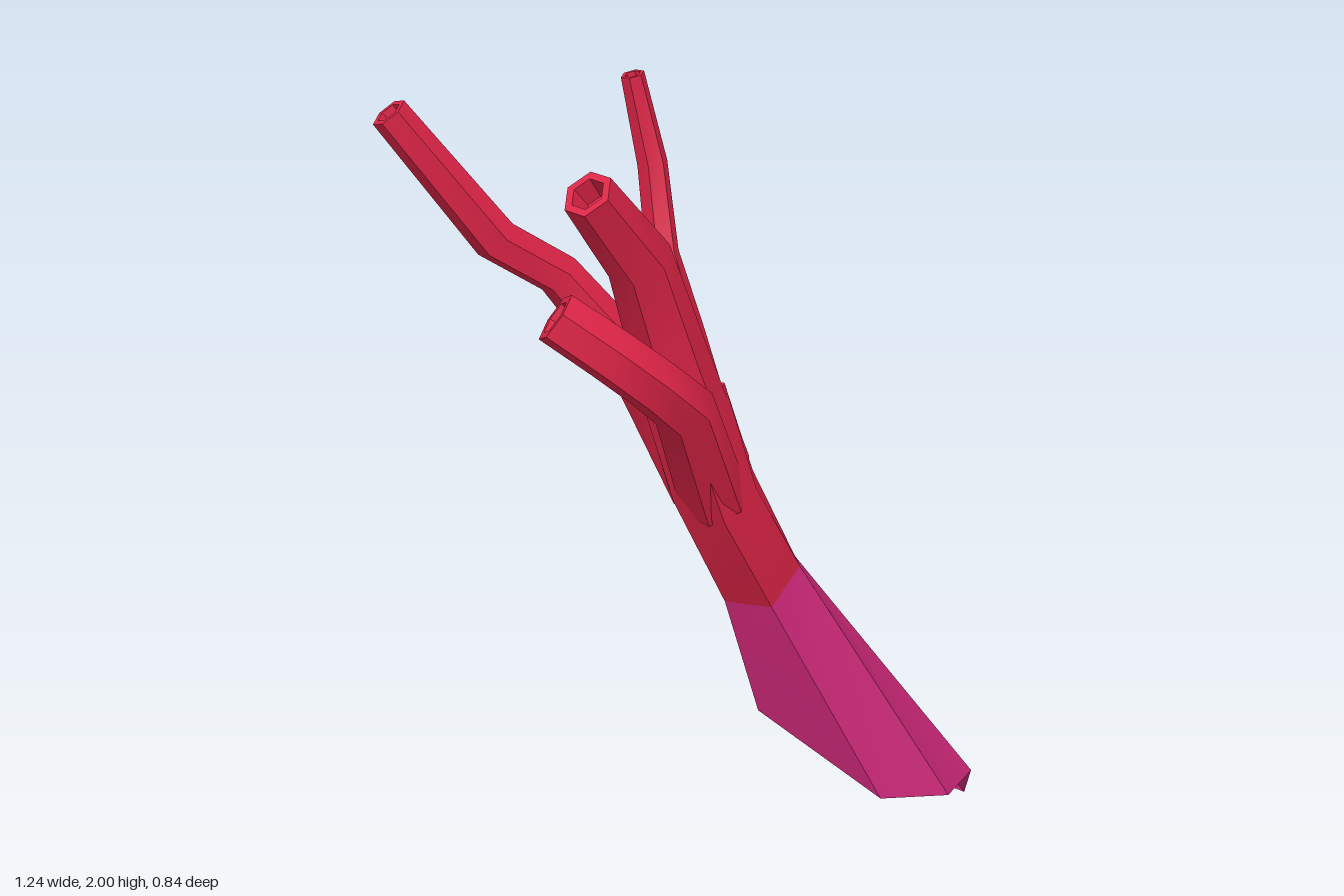
import * as THREE from 'three';
import { toCreasedNormals } from 'three/addons/utils/BufferGeometryUtils.js';

const V = (p) => new THREE.Vector3(...p);

// Skin a list of equal-length rings (counter-clockwise about the loft direction)
function loft(rings, cap = false) {
  const pos = [];
  const tri = (a, b, c) => pos.push(...a.toArray(), ...b.toArray(), ...c.toArray());
  const n = rings[0].length;
  for (let r = 0; r < rings.length - 1; r++) {
    for (let i = 0; i < n; i++) {
      const j = (i + 1) % n, a = rings[r], b = rings[r + 1];
      tri(a[i], a[j], b[j]);
      tri(a[i], b[j], b[i]);
    }
  }
  if (cap) {
    const end = rings[rings.length - 1];
    const mid = end.reduce((s, p) => s.add(p), new THREE.Vector3()).divideScalar(n);
    for (let i = 0; i < n; i++) tri(end[i], end[(i + 1) % n], mid);
  }
  const g = new THREE.BufferGeometry();
  g.setAttribute('position', new THREE.Float32BufferAttribute(pos, 3));
  return toCreasedNormals(g, 0.6);
}

// Faceted tube through [x, y, z, radius] stations, ending in a hollow mouth
function branch(stations, sides = 6) {
  const pts = stations.map((s) => V(s.slice(0, 3)));
  const last = pts.length - 1;
  const ring = (c, t, radius) => {
    const u = new THREE.Vector3(0, 0, 1).addScaledVector(t, -t.z).normalize();
    const w = t.clone().cross(u);
    return Array.from({ length: sides }, (_, i) => {
      const a = (i / sides) * Math.PI * 2;
      return c.clone().addScaledVector(u, Math.cos(a) * radius).addScaledVector(w, Math.sin(a) * radius);
    });
  };
  const tangent = (i) => {
    const a = pts[Math.max(i - 1, 0)], b = pts[Math.min(i + 1, last)];
    return b.clone().sub(a).normalize();
  };
  const rings = pts.map((p, i) => ring(p, tangent(i), stations[i][3]));
  const t = tangent(last), r = stations[last][3];
  rings.push(ring(pts[last], t, r * 0.68));
  rings.push(ring(pts[last].clone().addScaledVector(t, -0.05), t, r * 0.55));
  return loft(rings, true);
}

export function createModel() {
  const group = new THREE.Group();
  const red = new THREE.MeshStandardMaterial({ color: 0xdc2446 });
  red.name = 'coral red';
  const magenta = new THREE.MeshStandardMaterial({ color: 0xc42673, side: THREE.DoubleSide });
  magenta.name = 'magenta';
  const add = (name, geometry, material) => {
    const m = new THREE.Mesh(geometry, material);
    m.name = name;
    group.add(m);
  };

  // Joint between stem and trunk, listed from +x round by +z to -x and -z
  const joint = [
    [0.19, 0.8, -0.04], [0.185, 0.81, 0.03], [0.14, 0.81, 0.1],
    [0.01, 0.76, 0.125], [-0.05, 0.765, 0.03], [0.08, 0.78, -0.075],
  ].map(V);

  // Open stem with a slanted, ragged foot
  const foot = [
    [0.61, 0, 0.3], [0.5, 0.17, 0.39], [0.36, 0.18, 0.42],
    [0.21, 0.2, 0.32], [0.05, 0.42, 0.05], [0.285, 0.24, 0.1],
  ].map(V);
  const middle = joint.map((p, i) => p.clone().lerp(foot[i], 0.22));
  middle[5].set(0.1, 0.65, -0.07);
  add('stem', loft([joint, middle, foot]), magenta);

  // Trunk, widening upward to where the branches part
  const trunkMiddle = [
    [0.03, 1.08, -0.07], [0.04, 1.08, 0.035], [-0.03, 1.08, 0.11],
    [-0.16, 1.05, 0.13], [-0.2, 1.08, 0.01], [-0.05, 1.08, -0.105],
  ].map(V);
  const trunkTop = [
    [-0.03, 1.3, -0.08], [-0.04, 1.32, 0.02], [-0.14, 1.3, 0.08],
    [-0.25, 1.28, 0.13], [-0.25, 1.3, -0.02], [-0.12, 1.3, -0.12],
  ].map(V);
  add('trunk', loft([joint, trunkMiddle, trunkTop].map((r) => r.slice().reverse()), true), red);

  // Branches, from root to mouth
  const branches = {
    slenderBranch: [
      [-0.03, 1.1, -0.02, 0.07], [-0.07, 1.42, -0.07, 0.045], [-0.08, 1.6, -0.13, 0.038],
      [-0.06, 1.79, -0.175, 0.034], [-0.1, 1.99, -0.19, 0.026],
    ],
    backBranch: [
      [-0.05, 1.05, -0.03, 0.085], [-0.16, 1.36, -0.14, 0.063], [-0.29, 1.58, -0.24, 0.05],
      [-0.42, 1.68, -0.29, 0.05], [-0.6, 1.97, -0.385, 0.04],
    ],
    middleBranch: [
      [-0.07, 1.1, 0, 0.1], [-0.18, 1.42, -0.015, 0.085],
      [-0.27, 1.66, -0.01, 0.072], [-0.42, 1.84, 0, 0.056],
    ],
    frontBranch: [
      [-0.11, 1.07, 0.05, 0.08], [-0.27, 1.36, 0.115, 0.068], [-0.37, 1.45, 0.122, 0.062],
      [-0.45, 1.53, 0.08, 0.06], [-0.525, 1.61, 0.005, 0.058],
    ],
  };
  for (const [name, stations] of Object.entries(branches)) add(name, branch(stations), red);
  return group;
}
